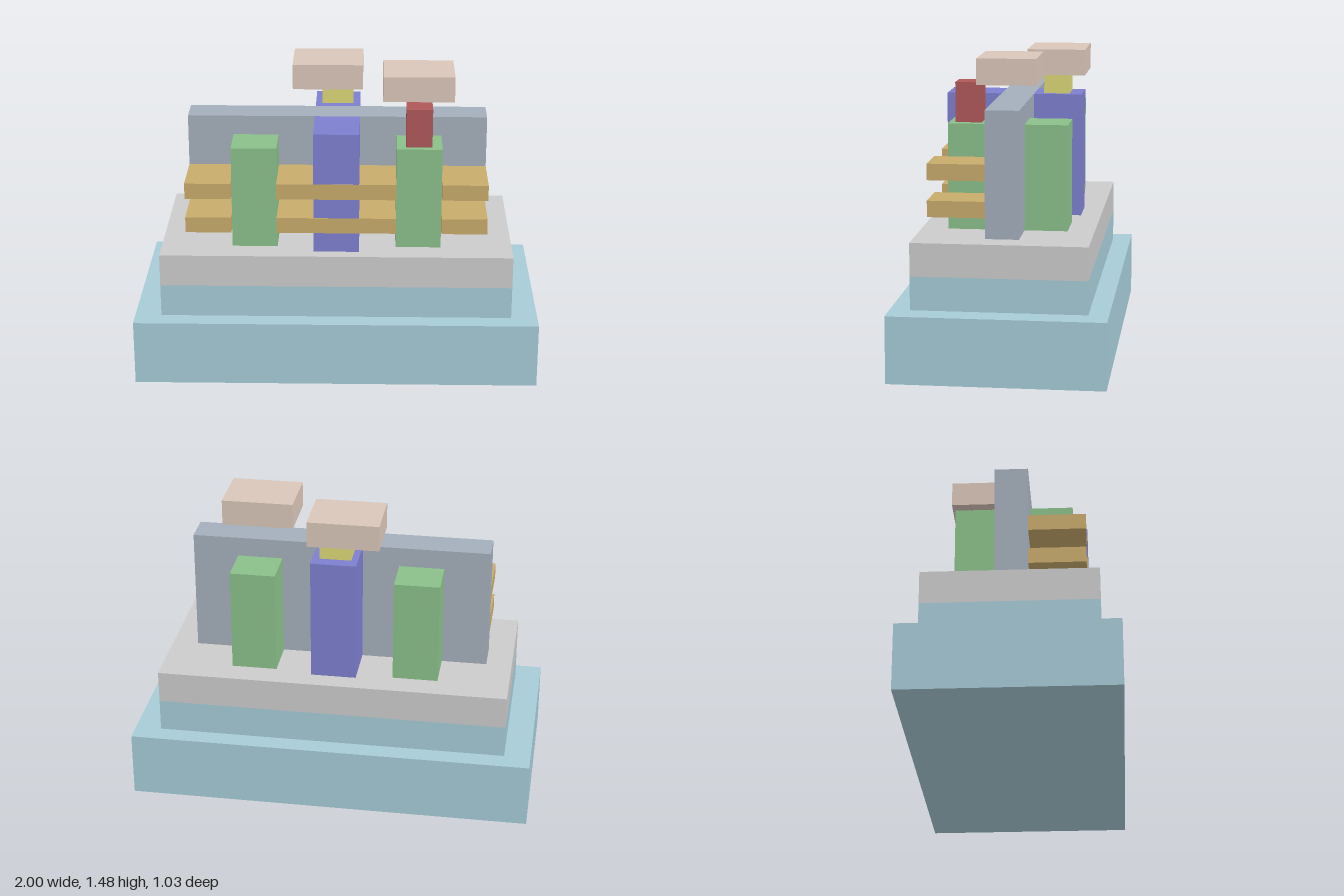
import * as THREE from 'three';

const material = (color) => new THREE.MeshStandardMaterial({ color });
const mats = {
  base: material(0xa6cbd7),
  plate: material(0xcccccc),
  wall: material(0xa4aebb),
  pillar: material(0x7d7fcf),
  column: material(0x8ac08a),
  slat: material(0xc8ab6c),
  red: material(0xb0585a),
  yellow: material(0xdcd777),
  cap: material(0xdac6b9),
};

export function createModel() {
  const model = new THREE.Group();
  model.name = 'blockModel';

  // Box given by its [min, max] extent on each axis
  const block = (name, mat, [x0, x1], [y0, y1], [z0, z1]) => {
    const mesh = new THREE.Mesh(new THREE.BoxGeometry(x1 - x0, y1 - y0, z1 - z0), mat);
    mesh.position.set((x0 + x1) / 2, (y0 + y1) / 2, (z0 + z1) / 2);
    mesh.name = name;
    model.add(mesh);
  };

  // Stepped plinth with a grey upper layer
  block('base', mats.base, [-1, 1], [0, 0.325], [-0.517, 0.517]);
  block('step', mats.base, [-0.87, 0.87], [0.325, 0.487], [-0.42, 0.42]);
  block('plate', mats.plate, [-0.87, 0.87], [0.487, 0.648], [-0.42, 0.42]);

  // Long wall along the middle
  const floor = 0.648;
  block('wall', mats.wall, [-0.742, 0.742], [floor, 1.26], [-0.081, 0.081]);

  // Central pillars on both faces of the wall
  block('frontPillar', mats.pillar, [-0.112, 0.112], [floor, 1.26], [0.081, 0.355]);
  block('backPillar', mats.pillar, [-0.112, 0.112], [floor, 1.26], [-0.32, -0.081]);

  // Four shorter columns
  for (const [side, x] of [['right', -0.405], ['left', 0.405]]) {
    const span = [x - 0.112, x + 0.112];
    block(side + 'FrontColumn', mats.column, span, [floor, 1.163], [0.081, 0.29]);
    block(side + 'BackColumn', mats.column, span, [floor, 1.163], [-0.29, -0.081]);
  }

  // Two rows of slats, interrupted by the front columns
  for (const y of [0.747, 0.924]) {
    for (const span of [[-0.742, -0.517], [-0.293, 0.293], [0.517, 0.742]]) {
      block('slat', mats.slat, span, [y, y + 0.079], [0.081, 0.357]);
    }
  }

  // Posts carrying the two caps
  block('redPost', mats.red, [0.34, 0.468], [1.163, 1.357], [0.132, 0.26]);
  block('leftCap', mats.cap, [0.226, 0.578], [1.357, 1.484], [-0.143, 0.143]);
  block('yellowPost', mats.yellow, [-0.08, 0.077], [1.26, 1.357], [-0.257, -0.129]);
  block('centreCap', mats.cap, [-0.226, 0.125], [1.357, 1.484], [-0.337, -0.051]);

  return model;
}
